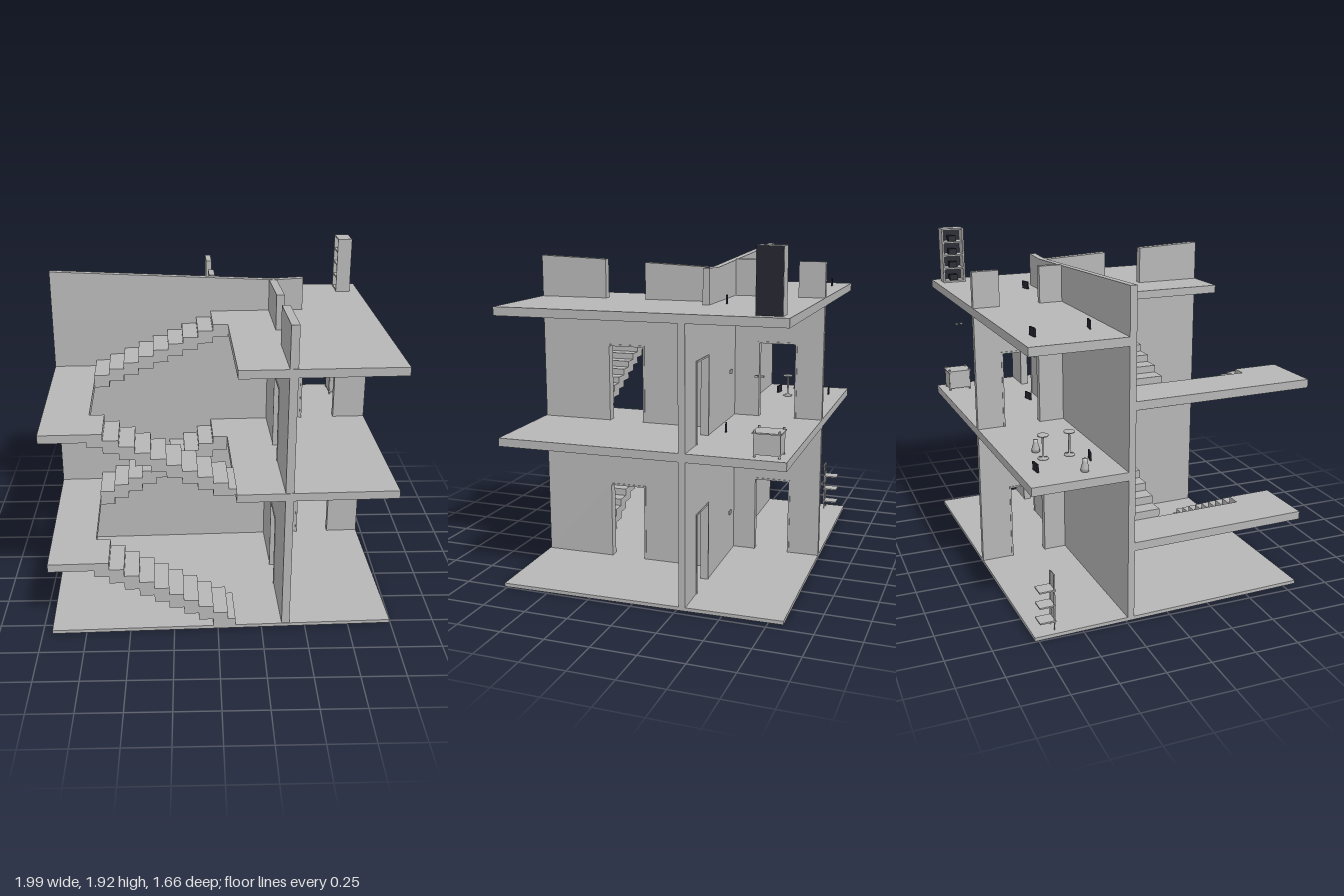
import * as THREE from 'three';

export function createModel() {
  const root = new THREE.Group();
  const house = new THREE.Group();
  house.name = 'house';
  house.rotation.y = 0.031;
  root.add(house);

  const grey = new THREE.MeshStandardMaterial({ color: 0xb6b6b6 });
  grey.name = 'plain grey';
  const dark = new THREE.MeshStandardMaterial({ color: 0x252531 });
  dark.name = 'dark panel';

  function add(name, geo, mat = grey, parent = house) {
    const m = new THREE.Mesh(geo, mat);
    m.name = name;
    parent.add(m);
    return m;
  }
  // box given by its limits on each axis
  function box(name, x0, x1, y0, y1, z0, z1, mat = grey, parent = house) {
    const g = new THREE.BoxGeometry(x1 - x0, y1 - y0, z1 - z0);
    g.translate((x0 + x1) / 2, (y0 + y1) / 2, (z0 + z1) / 2);
    return add(name, g, mat, parent);
  }
  // wall from an outline of [along, up] points, with thickness a..b on the other axis
  function wall(name, axis, pts, a, b) {
    const shape = new THREE.Shape(pts.map(p => new THREE.Vector2(...p)));
    const g = new THREE.ExtrudeGeometry(shape, { depth: b - a, bevelEnabled: false });
    if (axis === 'x') g.translate(0, 0, a);
    else g.rotateY(-Math.PI / 2).translate(b, 0, 0);
    return add(name, g);
  }
  const doorWall = (s0, s1, y0, y1, d0, d1, top) => [
    [s0, y0], [d0, y0], [d0, top], [d1, top], [d1, y0], [s1, y0], [s1, y1], [s0, y1]];

  // trim around a door opening
  function frame(axis, d0, d1, y0, top, a, b) {
    const w = 0.01, e = 0.004;
    const pts = [[d0, y0], [d0 + w, y0], [d0 + w, top - w], [d1 - w, top - w],
      [d1 - w, y0], [d1, y0], [d1, top], [d0, top]];
    wall('doorFrame', axis, pts, a - e, b + e);
  }

  // floors: ground plate, then slabs with a stairwell notch
  const X = 0.97, Z = 0.8, WELL = 0.075, LAND = -0.715, WZ0 = -0.27, WZ1 = -0.232;
  box('groundPlate', -X, X, 0, 0.02, -Z, Z);
  for (const [y0, y1] of [[0.815, 0.862], [1.531, 1.579]]) {
    const s = new THREE.Shape([[-X, Z], [-X, -WZ1], [WELL, -WZ1], [WELL, -Z], [X, -Z], [X, Z]]
      .map(p => new THREE.Vector2(...p)));
    const g = new THREE.ExtrudeGeometry(s, { depth: y1 - y0, bevelEnabled: false });
    g.rotateX(-Math.PI / 2).translate(0, y0, 0);
    add('floorSlab', g);
  }

  // two storeys of walls with doors, and the stairs beside them
  const storeys = [
    { y0: 0.02, y1: 0.815, top: 0.475, land: 0.457, next: 0.862, rear: [-0.62, -0.395] },
    { y0: 0.862, y1: 1.531, top: 1.312, land: 1.24, next: 1.579, rear: [-0.645, -0.41] },
  ];
  for (const { y0, y1, top, land, next, rear } of storeys) {
    wall('longWall', 'x', doorWall(-X, X, y0, y1, 0.558, 0.782, top), WZ0, WZ1);
    frame('x', 0.558, 0.782, y0, top, WZ0, WZ1);
    wall('frontCrossWall', 'z', doorWall(WZ1, Z - 0.005, y0, y1, 0.167, 0.393, top), 0.342, 0.388);
    frame('z', 0.167, 0.393, y0, top, 0.342, 0.388);
    wall('rearCrossWall', 'z', doorWall(-Z, WZ0, y0, y1, ...rear, top), -0.018, 0.016);
    frame('z', ...rear, y0, top, -0.018, 0.016);

    box('landing', -X, LAND, land - 0.047, land, WZ1, Z);
    // front flight climbs to the landing
    const rise = (land - y0) / 10;
    for (let i = 0; i < 10; i++) {
      const x0 = LAND + i * 0.083, t = land - i * rise;
      box('lowerStep', x0, Math.min(x0 + 0.083, WELL), Math.max(y0, t - 2 * rise), t, 0.54, Z);
    }
    // back flight climbs from the landing to the next floor
    const rise2 = (next - land) / 9, run = (WELL - LAND) / 9;
    for (let i = 0; i < 9; i++) {
      const t = land + (i + 1) * rise2;
      box('upperStep', LAND + i * run, LAND + (i + 1) * run, t - 2 * rise2, t, WZ1, 0.037);
    }
  }

  // unfinished walls on the roof, with sloping tops
  const R = 1.579;
  wall('roofLongWall', 'x', [[-X, R], [0.548, R], [0.548, 1.776], [0.37, 1.768], [-X, 1.836]], WZ0, WZ1);
  wall('roofCrossWall', 'z', [[WZ1, R], [0.157, R], [0.157, 1.786], [WZ1, 1.768]], 0.342, 0.388);
  wall('roofCrossWall', 'z', [[0.397, R], [Z - 0.005, R], [Z - 0.005, 1.815], [0.397, 1.8]], 0.342, 0.388);
  box('roofRearWall', -0.018, 0.016, R, 1.792, -0.405, WZ0);
  box('roofRearWall', -0.018, 0.016, R, 1.785, -Z, -0.645);

  // open shelf cabinet on the roof, dark back outwards
  const cabinet = new THREE.Group();
  cabinet.name = 'cabinet';
  house.add(cabinet);
  box('cabinetBack', 0.905, 0.912, R, 1.918, -0.753, -0.617, dark, cabinet);
  for (const z of [-0.755, -0.625]) box('cabinetSide', 0.822, 0.911, R, 1.92, z, z + 0.01, grey, cabinet);
  for (let i = 0; i < 5; i++) {
    const y = R + i * 0.0828;
    box('cabinetShelf', 0.824, 0.908, y, y + 0.01, -0.75, -0.62, grey, cabinet);
    if (i < 4) box('shelfItem', 0.84, 0.88, y + 0.01, y + 0.045, -0.71, -0.66, dark, cabinet);
  }

  // bedside chest with corner posts on the middle floor
  box('chest', 0.81, 0.92, 0.875, 0.985, -0.755, -0.615);
  box('chestTop', 0.803, 0.927, 0.985, 0.992, -0.762, -0.608);
  for (const x of [0.815, 0.915]) for (const z of [-0.75, -0.62]) {
    const p = add('chestPost', new THREE.CylinderGeometry(0.006, 0.006, 0.142, 8));
    p.position.set(x, 0.933, z);
  }

  // small dark plates standing on the middle floor and roof
  for (const y of [0.862, R]) for (const [x, z, r] of [[-0.76, -0.705, 0.1], [-0.71, -0.382, -0.2], [0.44, -0.337, 0.25]]) {
    const p = add('smallPlate', new THREE.BoxGeometry(0.06, 0.045, 0.009), dark);
    p.position.set(x, y + 0.0225, z);
    p.rotation.y = r;
  }

  // pedestal tables and tapered jars on the middle floor
  const lathe = (name, pts, x, z) => {
    const m = add(name, new THREE.LatheGeometry(pts.map(p => new THREE.Vector2(...p)), 20));
    m.position.set(x, 0.862, z);
  };
  for (const z of [-0.46, -0.61]) lathe('pedestalTable', [[0, 0], [0.03, 0], [0.03, 0.006], [0.006, 0.012],
    [0.006, 0.128], [0.03, 0.13], [0.03, 0.138], [0, 0.138]], -0.61, z);
  for (const [x, z] of [[-0.49, -0.61], [-0.86, -0.47]]) lathe('jar', [[0, 0], [0.022, 0], [0.022, 0.02],
    [0.012, 0.055], [0.014, 0.068], [0, 0.07]], x, z);

  // open rack on the ground floor
  box('rackBack', -0.93, -0.87, 0.05, 0.34, -0.675, -0.67);
  for (let i = 0; i < 3; i++) {
    const y = 0.07 + i * 0.09;
    box('rackShelf', -0.94, -0.86, y, y + 0.008, -0.76, -0.67);
  }
  for (const x of [-0.935, -0.869]) box('rackLeg', x, x + 0.004, 0.02, 0.34, -0.68, -0.676);

  // door handles
  for (const y of [0.345, 1.18]) box('handle', 0.3, 0.34, y - 0.012, y + 0.012, -0.335, -0.327);
  for (const z of [-0.63, -0.66]) box('handle', 0.92, 0.935, 1.275, 1.285, z - 0.008, z + 0.008);

  return root;
}
